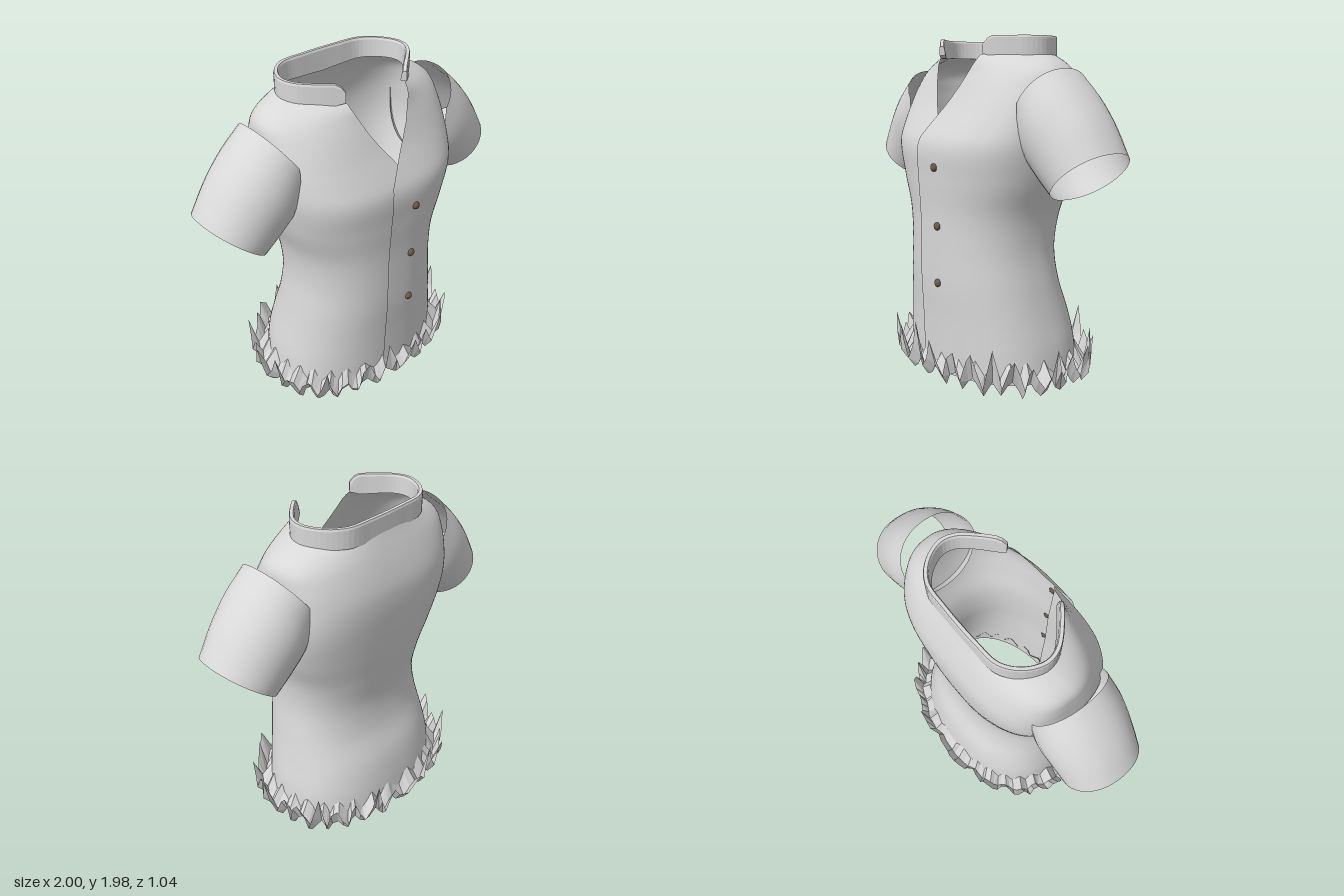
import * as THREE from 'three';

// Torso rows: y, half width, front z, back z, widest z, front exponent, back exponent
const ROWS = [
  [0.07, 0.58, 0.42, -0.43, 0, 2.3, 2.35],
  [0.25, 0.56, 0.425, -0.41, 0, 2.3, 2.35],
  [0.4, 0.53, 0.43, -0.38, 0.02, 2.3, 2.35],
  [0.6, 0.495, 0.44, -0.31, 0.04, 2.3, 2.35],
  [0.8, 0.47, 0.44, -0.29, 0.05, 2.3, 2.35],
  [1.0, 0.485, 0.44, -0.32, 0.04, 2.35, 2.4],
  [1.2, 0.55, 0.45, -0.35, 0.02, 2.5, 2.6],
  [1.4, 0.59, 0.45, -0.37, 0, 2.7, 2.9],
  [1.5, 0.595, 0.405, -0.375, 0, 2.75, 3],
  [1.6, 0.59, 0.355, -0.37, 0, 2.7, 3],
  [1.7, 0.585, 0.315, -0.345, -0.01, 2.4, 2.9],
  [1.8, 0.565, 0.285, -0.31, -0.02, 1.9, 2.6],
  [1.85, 0.505, 0.285, -0.29, -0.03, 1.65, 2.4],
  [1.89, 0.415, 0.285, -0.275, -0.04, 1.5, 2.35],
];
// Front edges: y, x of the overlapping panel, x of the panel beneath
const EDGES = [
  [0.07, -0.09, 0.06], [1.36, -0.09, 0.06], [1.43, -0.08, 0.05], [1.54, 0, 0],
  [1.64, 0.075, -0.075], [1.72, 0.128, -0.125], [1.85, 0.19, -0.19], [1.89, 0.2, -0.2],
];
// Sleeve sections: t, upper x, upper y, lower x, lower y, half depth
const SLEEVE = [
  [0, 0.65, 1.81, 0.41, 1.46, 0.235],
  [1, 0.78, 1.69, 0.48, 1.31, 0.255],
  [2, 0.9, 1.55, 0.57, 1.21, 0.245],
  [3, 1.0, 1.39, 0.68, 1.12, 0.23],
];

// Lookup through table rows keyed by their first value
function table(rows, Interpolant) {
  const n = rows[0].length - 1;
  const f = new Interpolant(rows.map(r => r[0]), rows.flatMap(r => r.slice(1)), n, new Array(n));
  return t => [...f.evaluate(t)];
}
const rowAt = table(ROWS, THREE.CubicInterpolant);
const edgeAt = table(EDGES, THREE.LinearInterpolant);
const sleeveAt = table(SLEEVE, THREE.CubicInterpolant);
const pow = (v, e) => Math.sign(v) * Math.abs(v) ** e;

// Point on the torso; angle runs from the front (+z) toward +x
function torsoPoint(y, angle, lift = 0) {
  const [a, front, back, mid, nf, nb] = rowAt(y);
  const s = Math.sin(angle), c = Math.cos(angle);
  const n = c > 0 ? nf : nb;
  return [a * pow(s, 2 / n), y, mid + (c > 0 ? front - mid : mid - back) * pow(c, 2 / n) + lift];
}
function angleForX(y, x) {
  const [a, , , , n] = rowAt(y);
  return Math.asin(pow(x / a, n / 2));
}

// Skin a list of point rows
function skin(rows, closed) {
  const m = rows[0].length, index = [];
  for (let i = 0; i < rows.length - 1; i++) {
    for (let j = 0; j < (closed ? m : m - 1); j++) {
      const k = (j + 1) % m, a = i * m + j, b = i * m + k;
      index.push(a, b, a + m, b, b + m, a + m);
    }
  }
  const g = new THREE.BufferGeometry();
  g.setAttribute('position', new THREE.Float32BufferAttribute(rows.flat(2), 3));
  g.setIndex(index);
  g.computeVertexNormals();
  return g;
}

function torsoGeometry() {
  const rows = [], COLS = 88, STEPS = 56;
  for (let i = 0; i <= STEPS; i++) {
    const t = i / STEPS;
    const y = 0.07 + 1.82 * (1 - (1 - t) ** 1.35); // denser near the shoulders
    const [over, under] = edgeAt(y);
    const start = angleForX(y, over), end = 2 * Math.PI + angleForX(y, under);
    const row = [];
    for (let j = 0; j <= COLS; j++) {
      const u = j / COLS;
      const lift = 0.008 * Math.max(0, 1 - u * 8) - 0.008 * Math.max(0, 1 - (1 - u) * 12);
      row.push(torsoPoint(y, start + (end - start) * u, lift));
    }
    rows.push(row);
  }
  return skin(rows, false);
}

// Sleeve, open at the shoulder and trimmed where it would enter the torso
function sleeveGeometry(side) {
  const rows = [], STEPS = 10, TRIM = 0.53;
  const pointAt = (t, angle) => {
    const [ux, uy, lx, ly, d] = sleeveAt(t), c = Math.cos(angle);
    return [(ux + lx) / 2 + (ux - lx) / 2 * c, (uy + ly) / 2 + (uy - ly) / 2 * c, d * pow(Math.sin(angle), 0.9)];
  };
  for (let i = 0; i <= STEPS; i++) {
    const row = [];
    for (let j = 0; j < 36; j++) {
      const angle = -side * j / 36 * Math.PI * 2;
      const inner = pointAt(0, angle)[0], outer = pointAt(3, angle)[0];
      const from = Math.max(0, (TRIM - inner) / (outer - inner));
      const [x, y, z] = pointAt(3 * (from + (1 - from) * i / STEPS), angle);
      row.push([side * x, y, z]);
    }
    rows.push(row);
  }
  return skin(rows, true);
}

// Standing collar: a thick band along an open neck path
function collarGeometry() {
  const half = [[0.205, 0.21], [0.305, 0.125], [0.392, 0.025], [0.412, -0.06], [0.365, -0.17], [0.27, -0.245], [0.12, -0.26]];
  const pts = [...half, ...half.slice().reverse().map(([x, z]) => [-x, z])];
  const path = new THREE.CatmullRomCurve3(pts.map(([x, z]) => new THREE.Vector3(x, 0, z)));
  const N = 64, section = [];
  for (let i = 0; i <= N; i++) {
    const u = i / N, p = path.getPointAt(u), t = path.getTangentAt(u);
    const end = Math.max(0, 1 - Math.min(u, 1 - u) / 0.035);
    const top = 1.99 - 0.045 * end * end, low = 1.862 + 0.02 * Math.min(1, Math.abs(p.x) / 0.4) + 0.02 * end;
    const at = (o, y) => [p.x - t.z * o, y, p.z + t.x * o];
    section.push([at(-0.012, low), at(-0.022, low), at(-0.016, top - 0.012), at(-0.01, top), at(0.008, top), at(0.012, top - 0.012), at(0.012, low)]);
  }
  // close both ends by collapsing the section to its middle
  const cap = s => s.map(() => [0, 1, 2].map(k => (s[1][k] + s[5][k] + s[3][k] + s[6][k]) / 4));
  return skin([cap(section[0]), ...section, cap(section[N])], true);
}

// Torn ruffle: a folded zigzag strip around the hem
function ruffleGeometry() {
  let seed = 7;
  const rand = () => (seed = (seed * 16807) % 2147483647) / 2147483647;
  const TEETH = 28, inner = [], low = [], tip = [];
  for (let i = 0; i < TEETH; i++) {
    const tall = i % 3 === 0;
    const spike = tall ? 0.25 + 0.09 * rand() : 0.14 + 0.11 * rand();
    const rises = tall ? [0, 0.35, 1, 0.4] : [0, 0.75, 1, 0.45];
    const dip = 0.005 + 0.03 * rand();
    rises.forEach((rise, k) => {
      const a = (i + k / 4 + (rand() - 0.5) * 0.14) / TEETH * Math.PI * 2;
      const wave = 0.016 * Math.sin(a * 14) + 0.01 * (rand() - 0.5);
      const [x, , z] = torsoPoint(0.12, a);
      const out = (o, y) => [x + Math.sin(a) * o * 1.15, y, z + Math.cos(a) * o * 0.9];
      inner.push(out(-0.005, 0.12 + 0.08 * rise));
      low.push(out(0.05 + wave * 0.6, dip + 0.085 * rise));
      tip.push(out(0.094 + wave, 0.06 + dip + (spike - 0.06) * rise));
    });
  }
  return skin([inner, low, tip], true);
}

export function createModel() {
  const model = new THREE.Group();
  model.name = 'shirt';
  const cloth = new THREE.MeshStandardMaterial({ color: 0xd8d8d8, side: THREE.DoubleSide });
  cloth.name = 'grey cloth';
  const foldedCloth = cloth.clone();
  foldedCloth.flatShading = true;
  const brown = new THREE.MeshStandardMaterial({ color: 0x6c5a4a });
  brown.name = 'button brown';
  const add = (name, geometry, material) => {
    const mesh = new THREE.Mesh(geometry, material);
    mesh.name = name;
    model.add(mesh);
    return mesh;
  };

  add('torso', torsoGeometry(), cloth);
  add('leftSleeve', sleeveGeometry(1), cloth);
  add('rightSleeve', sleeveGeometry(-1), cloth);
  add('collar', collarGeometry(), foldedCloth);
  add('tornHem', ruffleGeometry(), foldedCloth);

  // Buttons down the front
  [1.27, 0.935, 0.605].forEach((y, i) => {
    const button = add('button' + (i + 1), new THREE.SphereGeometry(0.023, 14, 10), brown);
    button.position.set(...torsoPoint(y, angleForX(y, 0.085), 0.01));
    button.scale.z = 0.75;
  });
  return model;
}
